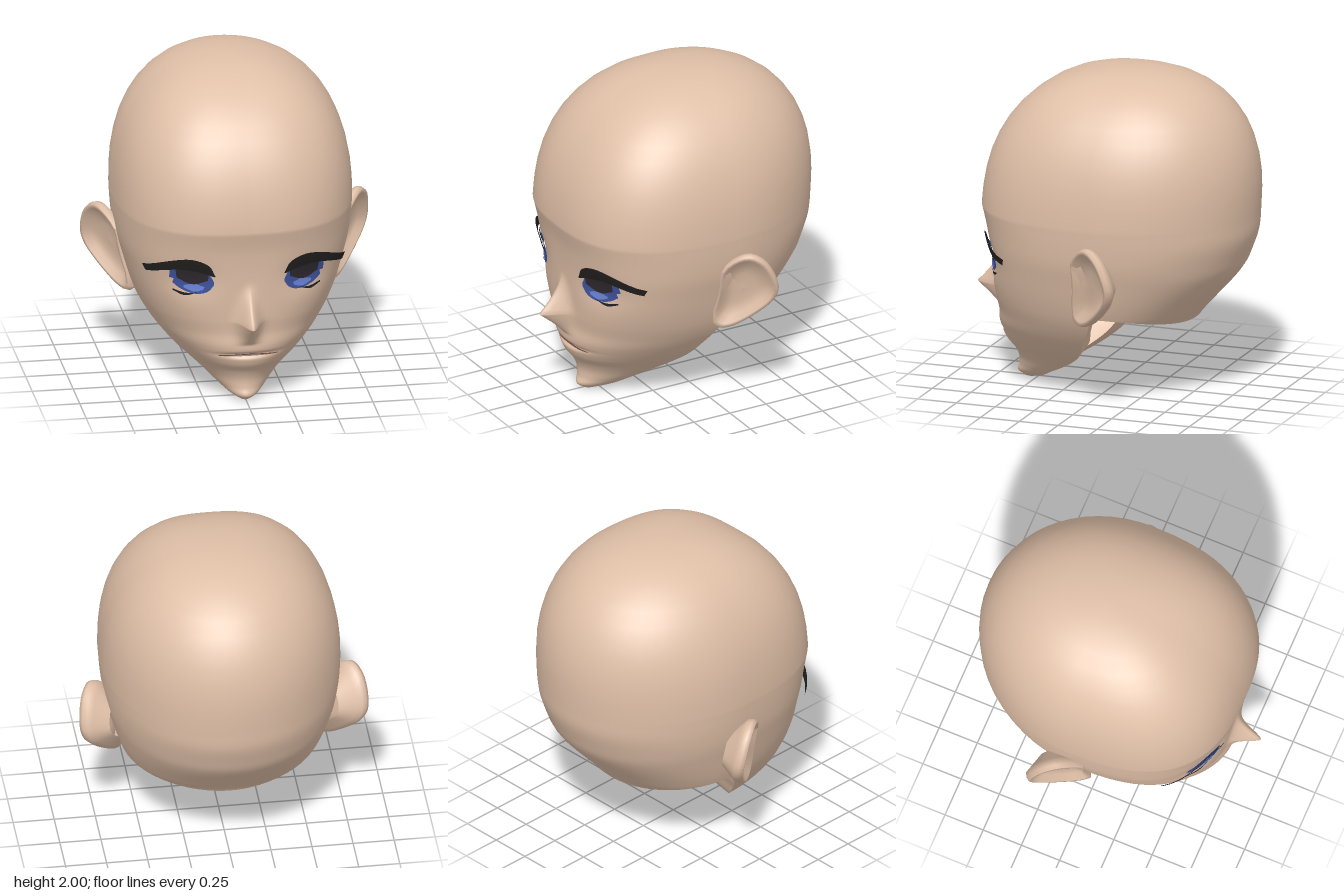
import * as THREE from 'three';
import { mergeGeometries, mergeVertices } from 'three/addons/utils/BufferGeometryUtils.js';

const mat = (name, color) => Object.assign(new THREE.MeshStandardMaterial({ color, side: THREE.DoubleSide }), { name });

// Lower head sections: y, half width, front z, z of widest point, back z
const SECTIONS = [
  [0, .03, .585, .54, -.5],
  [.03, .095, .63, .45, -.5],
  [.08, .165, .62, .36, -.5],
  [.14, .24, .62, .25, -.5],
  [.2, .315, .645, .16, -.5],
  [.26, .385, .69, .095, -.5],
  [.38, .49, .72, .03, -.5],
  [.47, .552, .712, -.02, -.515],
  [.56, .597, .72, -.05, -.59],
  [.8, .672, .735, -.06, -.795],
  [.9, .698, .742, -.06, -.84],
  [1.02, .715, .757, -.06, -.88],
  [1.15, .725, .788, -.06, -.89],
];
const profile = new THREE.CubicInterpolant(SECTIONS.map((s) => s[0]), SECTIONS.flatMap((s) => s.slice(1)), 4, []);

// Half width, front, middle and back at a height; the cranium is a rounded dome
function section(y) {
  const [w, zf, zc, zb] = profile.evaluate(THREE.MathUtils.clamp(y, 0, 1.15));
  if (y <= 1.15) return { w, zf, zc, zb };
  const t = Math.min(1, (y - 1.15) / .85), k = Math.pow(1 - t ** 2.4, 1 / 2.4), mid = zc - .06 * t;
  return { w: w * k, zf: mid + (zf - zc) * k, zc: mid, zb: mid + (zb - zc) * k };
}

// Row heights from crown to ear base, then down to the chin
const steps = (n, fn) => Array.from({ length: n }, (_, i) => fn(i));
const UPPER = [
  ...steps(12, (i) => 1.15 + .85 * Math.cos(i / 12 * Math.PI / 2)),
  ...steps(25, (i) => .56 + .59 * (24 - i) / 24),
];
const LOWER = steps(57, (i) => (56 - i) / 100);

const bell = (v, width) => Math.exp(-((v / width) ** 2));

// Nose, mouth groove and eye sockets added to the face
function relief(x, y) {
  const down = THREE.MathUtils.clamp((.8 - y) / .24, 0, 1);
  const under = THREE.MathUtils.clamp((y - .4) / .16, 0, 1);
  const nose = .175 * down ** 1.5 * under * bell(x, .03 + .025 * down);
  const mouth = .03 * bell(y - .33, .015) * bell(x, .15);
  const socket = .025 * bell(Math.abs(x) - .35, .13) * bell(y - .81, .1);
  return nose - mouth - socket;
}

function faceZ(x, y) {
  const { w, zf, zc } = section(y);
  const n = THREE.MathUtils.lerp(1.9, 2.6, THREE.MathUtils.smoothstep(y, .1, .75));
  const s = w > 0 ? Math.min(1, Math.abs(x) / w) : 0;
  return zc + (zf - zc) * Math.pow(1 - s ** n, 1 / n) + relief(x, y);
}

// Grid of points fn(row, column) turned into a smooth surface
function grid(rows, cols, fn) {
  const pos = [], index = [];
  for (let r = 0; r < rows; r++) for (let c = 0; c < cols; c++) {
    pos.push(...fn(r, c));
    if (r && c) {
      const d = r * cols + c, b = d - cols;
      index.push(b - 1, d - 1, b, b, d - 1, d);
    }
  }
  const g = new THREE.BufferGeometry();
  g.setAttribute('position', new THREE.Float32BufferAttribute(pos, 3));
  g.setIndex(index);
  g.computeVertexNormals();
  return g;
}

function headGeometry() {
  // Face: columns crowd toward the centre line for the nose
  const N = 24, levels = [...UPPER, ...LOWER.slice(1)];
  const front = grid(levels.length, 2 * N + 1, (r, c) => {
    const t = (c - N) / N, y = levels[r], { w, zc } = section(y);
    const x = w * Math.sin(Math.sign(t) * Math.abs(t) ** 1.4 * Math.PI / 2);
    return [x, y, Math.abs(t) === 1 ? zc : faceZ(x, y)];
  });
  // Back of the skull ends at a curved nape edge
  const M = 28, nape = 5;
  const back = grid(UPPER.length + nape, M + 1, (r, c) => {
    const u = Math.PI / 2 + Math.PI * c / M, s = Math.sin(u);
    const drop = Math.max(0, r - UPPER.length + 1) / nape;
    const y = (UPPER[r] ?? .56) - .09 * (1 - s * s) * drop;
    const { w, zc, zb } = section(y);
    return [w * s, y, zc + (zc - zb) * Math.cos(u)];
  });
  for (const g of [front, back]) g.deleteAttribute('normal');
  const g = mergeVertices(mergeGeometries([front, back]), 1e-4);
  g.computeVertexNormals();
  return g;
}

// Underside of the jaw, closed at the chin and open at the neck
function jawUnderside(side) {
  return grid(LOWER.length, 4, (r, c) => {
    const y = LOWER[r], t = c / 3, { w, zc } = section(y);
    const k = .8 * Math.sqrt(THREE.MathUtils.clamp((y - .13) / .4, 0, 1));
    return [side * w * (1 - t * (1 - k)), y + .02 * t * Math.min(1, y * 10), zc + .02 * t];
  });
}

// Ear: one outline swept through back, rim and hollow
function ear(side) {
  const outline = new THREE.CatmullRomCurve3([
    [-.03, .94], [.05, 1.03], [.13, 1.06], [.22, 1.02], [.29, .93], [.33, .82], [.31, .74],
    [.25, .67], [.17, .6], [.08, .54], [0, .52], [-.05, .56], [-.03, .8],
  ].map(([a, y]) => new THREE.Vector3(a, y, 0)), true).getPoints(32);
  // Offset across the ear and scale of the outline
  const layers = [[-.13, .5], [-.06, .85], [-.035, .98], [-.005, 1], [.02, .96], [.02, .86], [-.02, .7], [-.035, .4], [-.03, 0]];
  return grid(layers.length, outline.length, (r, c) => {
    const [n, k] = layers[r];
    const a = .11 + (outline[c].x - .11) * k, y = .8 + (outline[c].y - .8) * k;
    return [side * (.68 + .55 * a + .83 * n + .2 * (y - .8)), y, -.83 * a + .55 * n];
  });
}

// Thin plate laid over the face between an upper and a lower line
function facePlate(side, upper, lower, lift, flare = 0) {
  const curve = (pts) => new THREE.CatmullRomCurve3(pts.map(([x, y]) => new THREE.Vector3(x, y, 0)));
  const top = curve(upper), bottom = curve(lower);
  return grid(6, 17, (r, c) => {
    const p = top.getPoint(c / 16).lerp(bottom.getPoint(c / 16), r / 5);
    const out = flare * Math.max(0, (p.x - .4) / .2) ** 2;
    return [side * p.x, p.y, faceZ(p.x, p.y) + lift + out];
  });
}

export function createModel() {
  const skin = mat('skin', 0xdfbfa7);
  const lash = mat('lash black', 0x231f1f);
  const iris = mat('iris blue', 0x40549f);
  const glint = mat('iris light blue', 0x6b84d8);
  const pupil = mat('pupil dark', 0x2f2a30);
  const lip = mat('mouth brown', 0x6e4f43);
  const model = new THREE.Group();
  model.name = 'head';
  const add = (name, geometry, material, parent = model) => {
    const mesh = new THREE.Mesh(geometry, material);
    mesh.name = name;
    parent.add(mesh);
  };

  add('skull', headGeometry(), skin);
  add('mouthLine', facePlate(1, [[-.18, .327], [0, .335], [.18, .327]], [[-.18, .322], [.18, .322]], .006), lip);

  for (const [label, side] of [['left', 1], ['right', -1]]) {
    add(label + 'JawUnderside', jawUnderside(side), skin);
    add(label + 'Ear', ear(side), skin);

    const eye = new THREE.Group();
    eye.name = label + 'Eye';
    model.add(eye);
    const plate = (name, material, upper, lower, lift, flare) =>
      add(name, facePlate(side, upper, lower, lift, flare), material, eye);
    plate('iris', iris, [[.215, .82], [.26, .89], [.35, .9], [.43, .86], [.45, .8]],
      [[.215, .8], [.25, .755], [.32, .735], [.4, .755], [.45, .79]], .008);
    plate('irisOuterEdge', iris, [[.43, .9], [.47, .89]], [[.43, .82], [.47, .825]], .008);
    plate('pupil', pupil, [[.25, .9], [.34, .91], [.44, .9]], [[.25, .83], [.34, .795], [.43, .83]], .014);
    plate('irisGlint', glint, [[.27, .785], [.33, .8], [.39, .785]], [[.28, .765], [.33, .75], [.39, .77]], .014);
    plate('upperLash', lash, [[.21, .865], [.25, .935], [.35, .972], [.48, .945], [.62, .885]],
      [[.215, .86], [.3, .885], [.4, .895], [.5, .878], [.6, .845]], .024, .05);
    plate('lowerLash', lash, [[.31, .745], [.38, .737], [.45, .752]], [[.32, .741], [.385, .72], [.45, .742]], .012);
  }
  return model;
}
